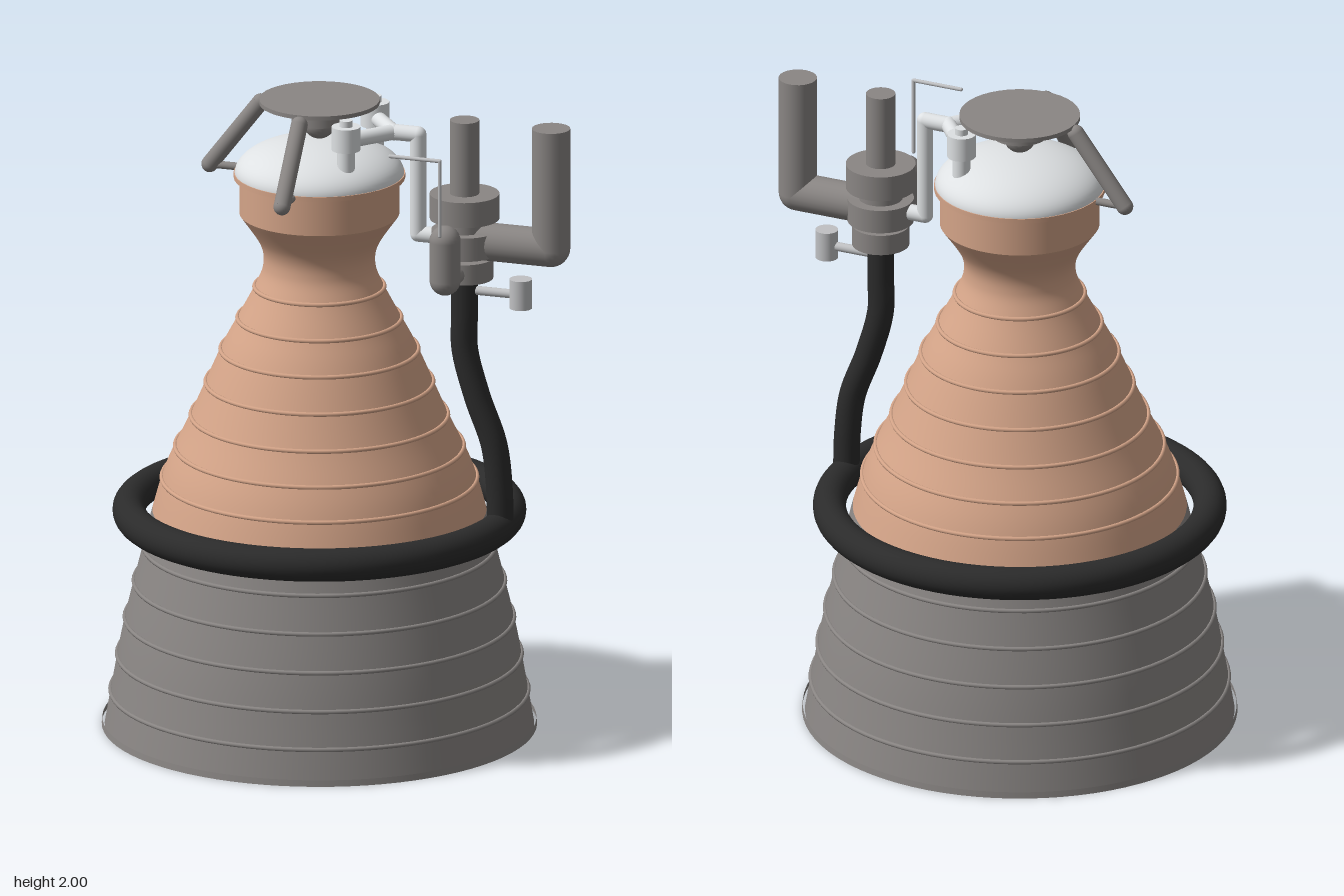
import * as THREE from 'three';

const mat = (name, color, side = THREE.FrontSide) => {
  const m = new THREE.MeshStandardMaterial({ color, side });
  m.name = name;
  return m;
};

export function createModel() {
  const copper = mat('copper', 0xd4a488, THREE.DoubleSide);
  const steel = mat('steel grey', 0x8a8684, THREE.DoubleSide);
  const white = mat('white', 0xdee1e3);
  const light = mat('light grey', 0xc0c1c3);
  const black = mat('black', 0x2b2b2b);

  const model = new THREE.Group();
  model.name = 'rocketEngine';
  const engine = new THREE.Group();
  engine.name = 'thrustChamber';
  engine.position.x = -0.075;
  model.add(engine);

  const V = (x, y, z) => new THREE.Vector3(x, y, z);
  const add = (parent, name, geo, m, x = 0, y = 0, z = 0) => {
    const mesh = new THREE.Mesh(geo, m);
    mesh.name = name;
    mesh.position.set(x, y, z);
    parent.add(mesh);
    return mesh;
  };
  // Upright cylinder between two heights
  const drum = (parent, name, r, y0, y1, m, x = 0, z = 0) =>
    add(parent, name, new THREE.CylinderGeometry(r, r, y1 - y0, 40), m, x, (y0 + y1) / 2, z);
  // Straight runs of pipe with ball joints at the inner corners
  const pipe = (parent, name, pts, r, m, roundEnds = false) => {
    const g = new THREE.Group();
    g.name = name;
    parent.add(g);
    pts.forEach((p, i) => {
      if (roundEnds || (i > 0 && i < pts.length - 1))
        add(g, name + 'Joint', new THREE.SphereGeometry(r, 24, 16), m, p.x, p.y, p.z);
      if (i === 0) return;
      const d = p.clone().sub(pts[i - 1]);
      const run = add(g, name + 'Run', new THREE.CylinderGeometry(r, r, d.length(), 24), m);
      run.position.copy(p).add(pts[i - 1]).multiplyScalar(0.5);
      run.quaternion.setFromUnitVectors(V(0, 1, 0), d.normalize());
    });
  };

  // Bell outline from exit to chamber, as radius and height
  const outline = new THREE.SplineCurve([
    [0.658, 0], [0.632, 0.15], [0.598, 0.33], [0.54, 0.57], [0.512, 0.685], [0.468, 0.83],
    [0.393, 0.99], [0.302, 1.2], [0.25, 1.3], [0.198, 1.4], [0.172, 1.47], [0.182, 1.54], [0.245, 1.635],
  ].map(([r, y]) => new THREE.Vector2(r, y))).getPoints(144);
  const radiusAt = (y) => {
    const i = Math.max(1, outline.findIndex((p) => p.y >= y));
    const a = outline[i - 1], b = outline[i];
    return a.x + (b.x - a.x) * (y - a.y) / (b.y - a.y);
  };
  const split = outline.findIndex((p) => p.y >= 0.684);
  add(engine, 'nozzleSkirt', new THREE.LatheGeometry(outline.slice(0, split + 1), 80), steel);
  add(engine, 'nozzleBell', new THREE.LatheGeometry(outline.slice(split), 80), copper);
  add(engine, 'chamber', new THREE.CylinderGeometry(0.245, 0.245, 0.12, 80, 1, true), copper, 0, 1.695, 0);
  drum(engine, 'chamberFlange', 0.263, 1.75, 1.765, copper);

  // Stiffening hoops
  const hoop = (y, m) => {
    const ring = add(engine, 'hoop', new THREE.TorusGeometry(radiusAt(y) + 0.001, 0.007, 8, 80), m, 0, y, 0);
    ring.rotation.x = Math.PI / 2;
  };
  [0.11, 0.225, 0.342, 0.458, 0.573].forEach((y) => hoop(y, steel));
  [0.79, 0.89, 0.99, 1.095, 1.2, 1.3, 1.4].forEach((y) => hoop(y, copper));
  add(engine, 'exitLip', new THREE.CylinderGeometry(0.665, 0.667, 0.02, 80, 1, true), steel, 0, 0.01, 0);

  // Exhaust manifold ring around the bell
  add(engine, 'manifold', new THREE.TorusGeometry(0.583, 0.051, 24, 96), black, 0, 0.685, 0)
    .rotation.x = Math.PI / 2;

  // Injector dome
  add(engine, 'dome', new THREE.SphereGeometry(0.26, 64, 20, 0, Math.PI * 2, 0, Math.PI / 2), white, 0, 1.762, 0)
    .scale.y = 0.43;

  // Gimbal mount
  drum(engine, 'mountPlate', 0.185, 1.987, 2, steel);
  drum(engine, 'gimbalBlock', 0.085, 1.93, 1.99, steel);
  add(engine, 'gimbalBall', new THREE.SphereGeometry(0.05, 24, 16), steel, 0, 1.925, 0);

  // Steering actuators on the right and front
  [[-1, 0], [0, 1]].forEach(([x, z]) => {
    const at = (r, y) => V(x * r, y, z * r);
    pipe(engine, 'actuator', [at(0.19, 1.972), at(0.355, 1.757)], 0.026, steel, true);
    pipe(engine, 'actuatorLink', [at(0.355, 1.757), at(0.25, 1.757)], 0.012, steel);
  });

  // Propellant valves on the dome, feeding from a forked line
  [-1, 1].forEach((s) => {
    const z = s * 0.137;
    drum(model, 'valveBody', 0.044, 1.89, 1.965, white, 0.058, z);
    drum(model, 'valveStem', 0.027, 1.8, 1.89, white, 0.058, z);
    drum(model, 'valveCap', 0.02, 1.965, 1.985, white, 0.058, z);
    pipe(model, 'feedFork', [V(0.058, 1.918, z), V(0.165, 1.918, 0)], 0.024, white);
  });
  pipe(model, 'feedLine', [V(0.16, 1.918, 0), V(0.245, 1.918, 0), V(0.245, 1.6, 0), V(0.35, 1.6, 0)], 0.025, white);
  add(model, 'forkJoint', new THREE.SphereGeometry(0.026, 24, 16), white, 0.165, 1.918, 0);

  // Turbopump stack
  const px = 0.395;
  [
    ['inletPipe', 0.045, 1.74, 1.98], ['upperPump', 0.107, 1.665, 1.745], ['pumpNeck', 0.068, 1.63, 1.665],
    ['lowerPump', 0.102, 1.555, 1.63], ['turbineNeck', 0.055, 1.54, 1.555], ['turbine', 0.088, 1.475, 1.54],
  ].forEach(([name, r, y0, y1]) => drum(model, name, r, y0, y1, steel, px));
  pipe(model, 'sideInlet', [V(px, 1.597, 0), V(0.675, 1.597, 0), V(0.675, 1.98, 0)], 0.059, steel);

  // Gas generator and its igniter line
  pipe(model, 'gasGenerator', [V(px, 1.52, 0.185), V(px, 1.645, 0.185)], 0.048, steel, true);
  pipe(model, 'generatorDuct', [V(px, 1.507, 0), V(px, 1.507, 0.185)], 0.028, steel);
  pipe(model, 'igniterLine', [V(0.24, 1.92, 0.25), V(0.4, 1.92, 0.25), V(0.4, 1.68, 0.25)], 0.006, light, true);

  // Starter canister on a short arm
  pipe(model, 'starterArm', [V(px, 1.437, 0), V(0.575, 1.437, 0)], 0.014, light);
  drum(model, 'starterCanister', 0.035, 1.395, 1.488, light, 0.577);

  // Turbine exhaust duct down to the manifold
  const duct = new THREE.CatmullRomCurve3([
    V(px, 1.48, 0), V(px, 1.36, 0), V(px, 1.25, 0), V(0.435, 1.1, 0),
    V(0.49, 0.95, 0), V(0.507, 0.82, 0), V(0.511, 0.69, 0),
  ]);
  add(model, 'exhaustDuct', new THREE.TubeGeometry(duct, 40, 0.041, 24), black);

  return model;
}
